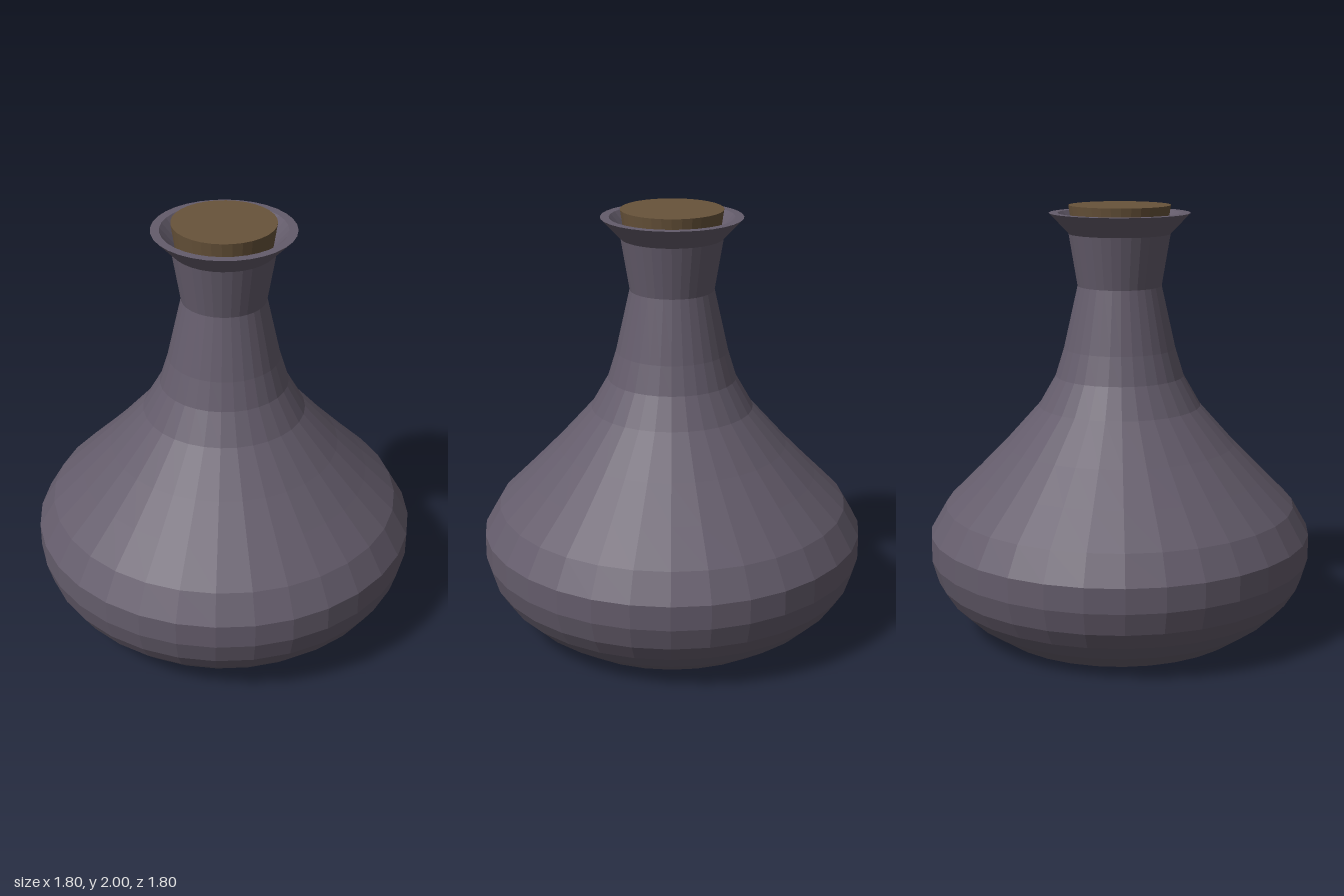
import * as THREE from 'three';

const SIDES = 32;

// Faceted solid of revolution from [radius, height] pairs, listed bottom to top on the outside
function turned(name, profile, color) {
  const points = profile.map(([r, y]) => new THREE.Vector2(r, y));
  const mesh = new THREE.Mesh(
    new THREE.LatheGeometry(points, SIDES),
    new THREE.MeshStandardMaterial({ color, flatShading: true })
  );
  mesh.name = name;
  return mesh;
}

export function createModel() {
  const group = new THREE.Group();
  group.name = 'stopperedFlask';

  group.add(turned('bottle', [
    // base and rounded belly
    [0, 0], [0.61, 0], [0.74, 0.09], [0.82, 0.17], [0.87, 0.25], [0.9, 0.355], [0.9, 0.47],
    // shoulder
    [0.825, 0.6], [0.68, 0.745], [0.54, 0.89], [0.38, 1.07],
    // neck
    [0.3, 1.21], [0.26, 1.34], [0.195, 1.63], [0.235, 1.87],
    // flared lip and funnel inside the mouth
    [0.325, 1.965], [0.285, 1.965], [0.2, 1.87], [0.17, 1.63], [0, 1.63]
  ], 0x645c6b));

  // tapered cork, seated in the mouth
  group.add(turned('cork', [
    [0, 1.7], [0.19, 1.7], [0.235, 2], [0, 2]
  ], 0x68533a));

  return group;
}
